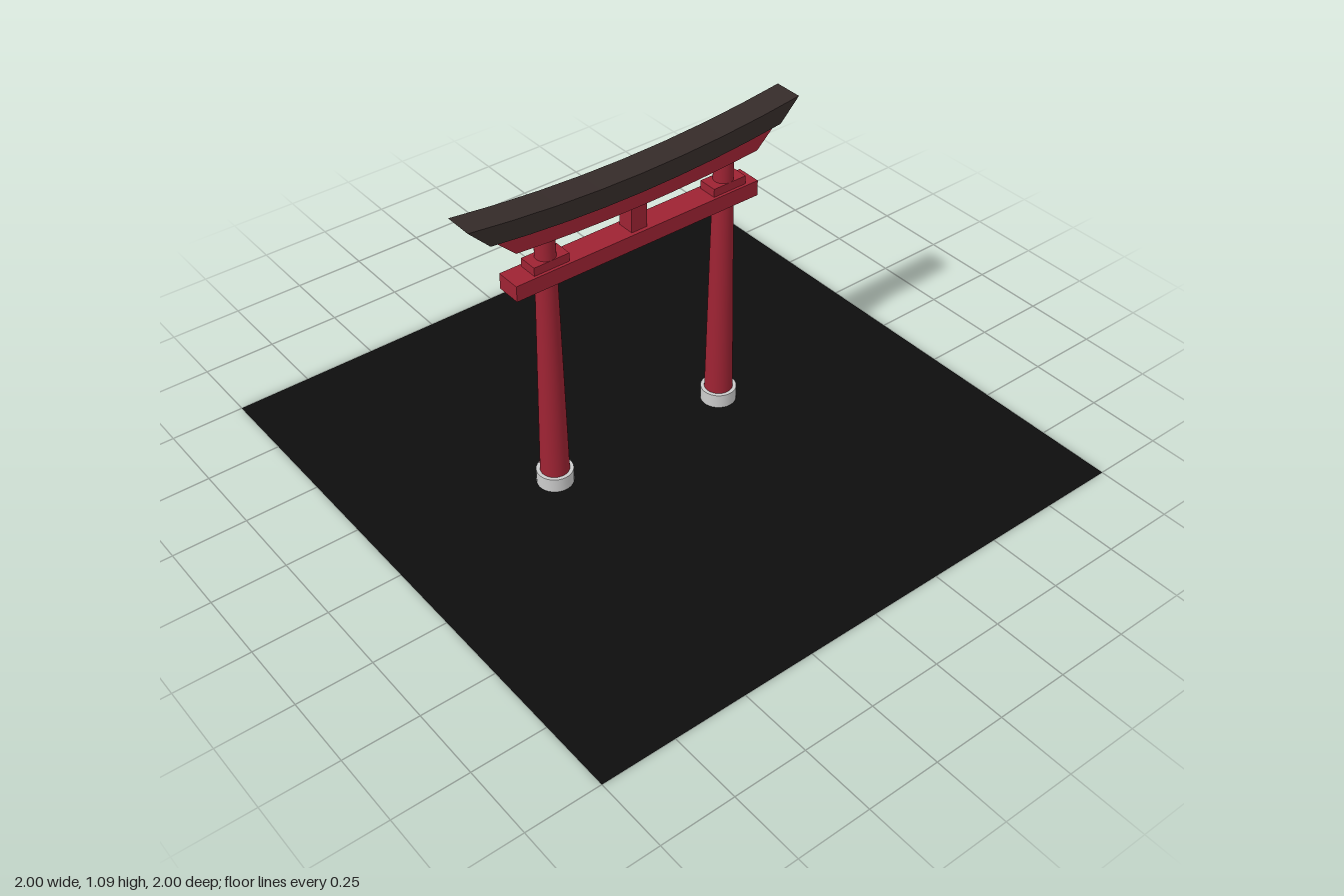
import * as THREE from 'three';

const mat = (color, extra = {}) => new THREE.MeshStandardMaterial({ color, ...extra });

export function createModel() {
  const red = mat(0x9e2333);
  const dark = mat(0x352b29);
  const stone = mat(0xcccccc);

  const model = new THREE.Group();
  const gate = new THREE.Group();
  gate.name = 'gate';
  gate.position.set(-0.06, 0, 0.065);
  model.add(gate);

  const add = (parent, name, geometry, material, x = 0, y = 0, z = 0) => {
    const mesh = new THREE.Mesh(geometry, material);
    mesh.name = name;
    mesh.position.set(x, y, z);
    parent.add(mesh);
    return mesh;
  };

  // Upswept beam along z: curved top and bottom edges, ends slanting outwards
  const curvedBeam = (bottom, top, width, segments = 8) => {
    const edge = ({ half, low, high }) => Array.from({ length: segments + 1 }, (_, i) => {
      const t = (2 * i) / segments - 1;
      return new THREE.Vector2(t * half, low + (high - low) * t * t);
    });
    const shape = new THREE.Shape([...edge(bottom), ...edge(top).reverse()]);
    const geometry = new THREE.ExtrudeGeometry(shape, { depth: width, bevelEnabled: false });
    return geometry.translate(0, 0, -width / 2).rotateY(-Math.PI / 2);
  };

  // Ground sheet
  add(model, 'ground', new THREE.PlaneGeometry(2, 2).rotateX(-Math.PI / 2),
    mat(0x0d0d0d, { side: THREE.DoubleSide }));

  // Tapered pillars with stone feet and a block above the tie beam
  for (const [side, z] of [['front', 0.323], ['back', -0.351]]) {
    const pillar = new THREE.Group();
    pillar.name = side + 'Pillar';
    pillar.position.z = z;
    gate.add(pillar);
    add(pillar, 'foot', new THREE.CylinderGeometry(0.06, 0.06, 0.05, 32), stone, 0, 0.025);
    add(pillar, 'shaft', new THREE.CylinderGeometry(0.031, 0.048, 0.93, 32), red, 0, 0.495);
    add(pillar, 'block', new THREE.BoxGeometry(0.066, 0.03, 0.126), red, 0, 0.852);
  }

  // Straight tie beam and the short strut above it
  add(gate, 'tieBeam', new THREE.BoxGeometry(0.086, 0.054, 0.913), red, 0, 0.811);
  add(gate, 'strut', new THREE.BoxGeometry(0.06, 0.11, 0.058), red, 0, 0.89);

  // Curved lintel and the dark roof beam resting on it
  add(gate, 'lintel', curvedBeam(
    { half: 0.45, low: 0.93, high: 0.95 },
    { half: 0.515, low: 0.981, high: 1.012 }, 0.085), red);
  add(gate, 'roofBeam', curvedBeam(
    { half: 0.537, low: 0.981, high: 1.015 },
    { half: 0.608, low: 1.047, high: 1.088 }, 0.098), dark);

  return model;
}
